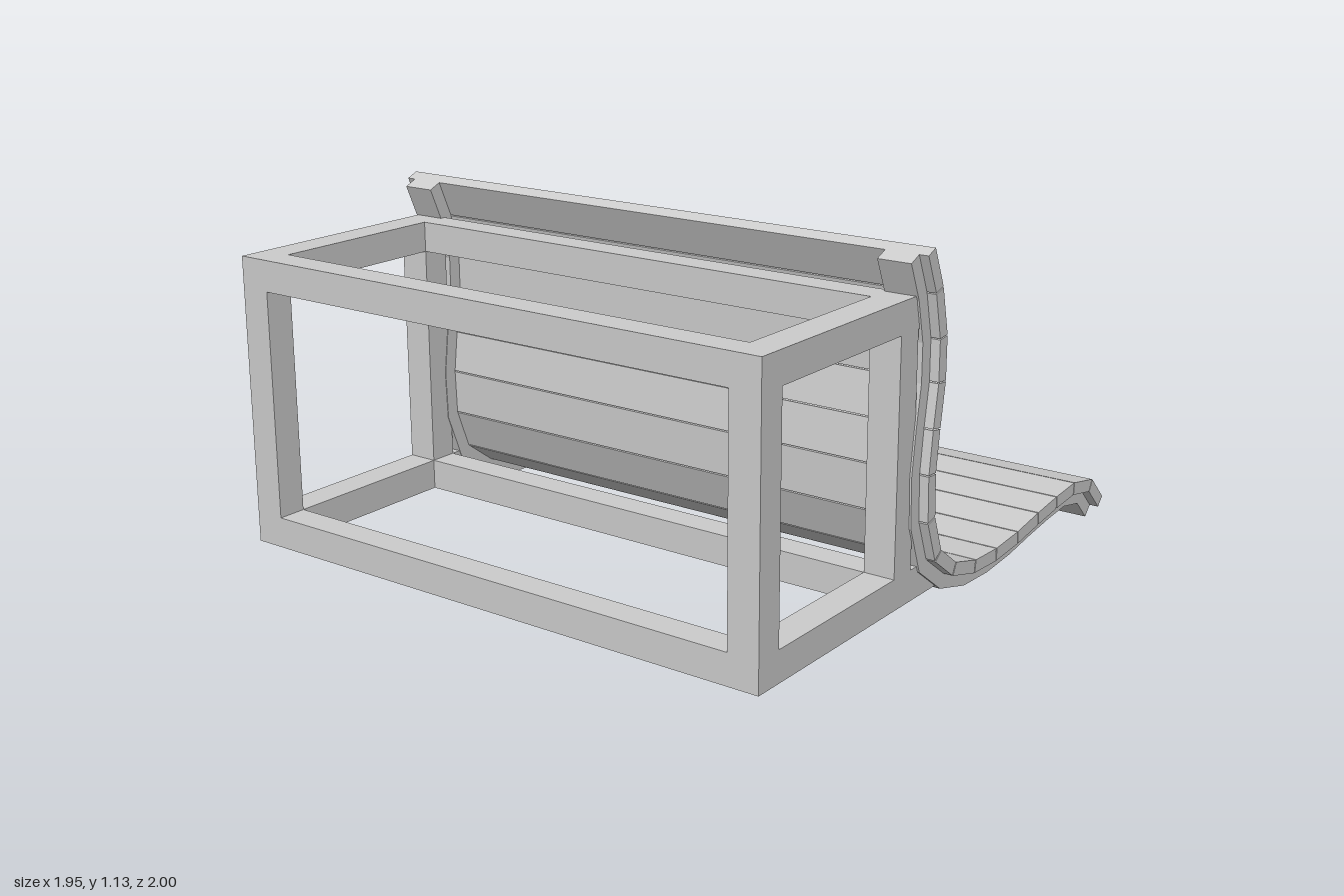
import * as THREE from 'three';

const material = new THREE.MeshStandardMaterial({ color: 0xcccccc, flatShading: true });

// Sitting surface of the slatted sheet, from the top of the back to the toe, as [z, y]
const PROFILE = [
  [0.21, 1.135], [0.158, 1.015], [0.125, 0.87], [0.125, 0.735], [0.147, 0.60], [0.163, 0.47],
  [0.158, 0.335], [0.115, 0.222], [0.02, 0.153], [-0.105, 0.12], [-0.238, 0.115], [-0.377, 0.126],
  [-0.516, 0.147], [-0.644, 0.163], [-0.773, 0.174], [-0.912, 0.147], [-1.0, 0.062],
].map(([z, y]) => new THREE.Vector2(z, y));

const SLAT = 0.041, RAIL = 0.086, GAP = 0.004;

// Moves the profile to its underside by a distance, with mitred corners
function offset(points, dist) {
  const normals = points.slice(1).map((p, i) => {
    const d = p.clone().sub(points[i]).normalize();
    return new THREE.Vector2(-d.y, d.x);
  });
  return points.map((p, i) => {
    const a = normals[Math.max(i - 1, 0)];
    const b = normals[Math.min(i, normals.length - 1)];
    const m = a.clone().add(b).normalize();
    return p.clone().addScaledVector(m, dist / m.dot(a));
  });
}

// Extrudes a [z, y] outline along x, centred on the given x
function sideExtrusion(name, points, width, x = 0) {
  const geometry = new THREE.ExtrudeGeometry(new THREE.Shape(points), {
    depth: width, bevelEnabled: false,
  });
  geometry.translate(0, 0, -width / 2).rotateY(-Math.PI / 2).translate(x, 0, 0);
  const mesh = new THREE.Mesh(geometry, material);
  mesh.name = name;
  return mesh;
}

// Box given by its limits
function bar(name, [x0, x1], [y0, y1], [z0, z1]) {
  const mesh = new THREE.Mesh(new THREE.BoxGeometry(x1 - x0, y1 - y0, z1 - z0), material);
  mesh.position.set((x0 + x1) / 2, (y0 + y1) / 2, (z0 + z1) / 2);
  mesh.name = name;
  return mesh;
}

export function createModel() {
  const model = new THREE.Group();
  model.name = 'slattedBench';

  // Open box frame
  const frame = new THREE.Group();
  frame.name = 'frame';
  const low = [0.09, 0.187], high = [0.903, 1.0], upright = [0.187, 0.903];
  const front = [0.907, 1.0], back = [0.227, 0.32], middle = [0.32, 0.907];
  for (const z of [front, back]) {
    for (const y of [low, high]) frame.add(bar('crossBar', [-0.84, 0.84], y, z));
  }
  for (const side of [-1, 1]) {
    const x = side > 0 ? [0.84, 0.94] : [-0.94, -0.84];
    for (const z of [front, back]) frame.add(bar('post', x, upright, z));
    frame.add(bar('topSideBar', x, high, [0.215, 1.0]));
    // Bottom bar runs back until it meets the curved rail
    const outline = [[1.0, 0.09], [1.0, 0.187], [0.15, 0.187], [0.05, 0.09]];
    frame.add(sideExtrusion('bottomSideBar', outline.map(([z, y]) => new THREE.Vector2(z, y)),
      0.1, side * 0.89));
  }
  model.add(frame);

  // Slats laid along the curve with thin gaps
  const slats = new THREE.Group();
  slats.name = 'slats';
  const under = offset(PROFILE, SLAT);
  const last = PROFILE.length - 2;
  for (let i = 0; i <= last; i++) {
    const length = PROFILE[i].distanceTo(PROFILE[i + 1]);
    const t0 = i === 0 ? 0 : GAP / 2 / length;
    const t1 = i === last ? 1 : 1 - GAP / 2 / length;
    const at = (line, t) => line[i].clone().lerp(line[i + 1], t);
    slats.add(sideExtrusion('slat',
      [at(PROFILE, t0), at(PROFILE, t1), at(under, t1), at(under, t0)], 1.952));
  }
  model.add(slats);

  // Curved rails carrying the slats
  const railOutline = [...under, ...offset(PROFILE, RAIL).reverse()];
  for (const side of [-1, 1]) {
    model.add(sideExtrusion('curvedRail', railOutline, 0.108, side * 0.892));
  }
  return model;
}
